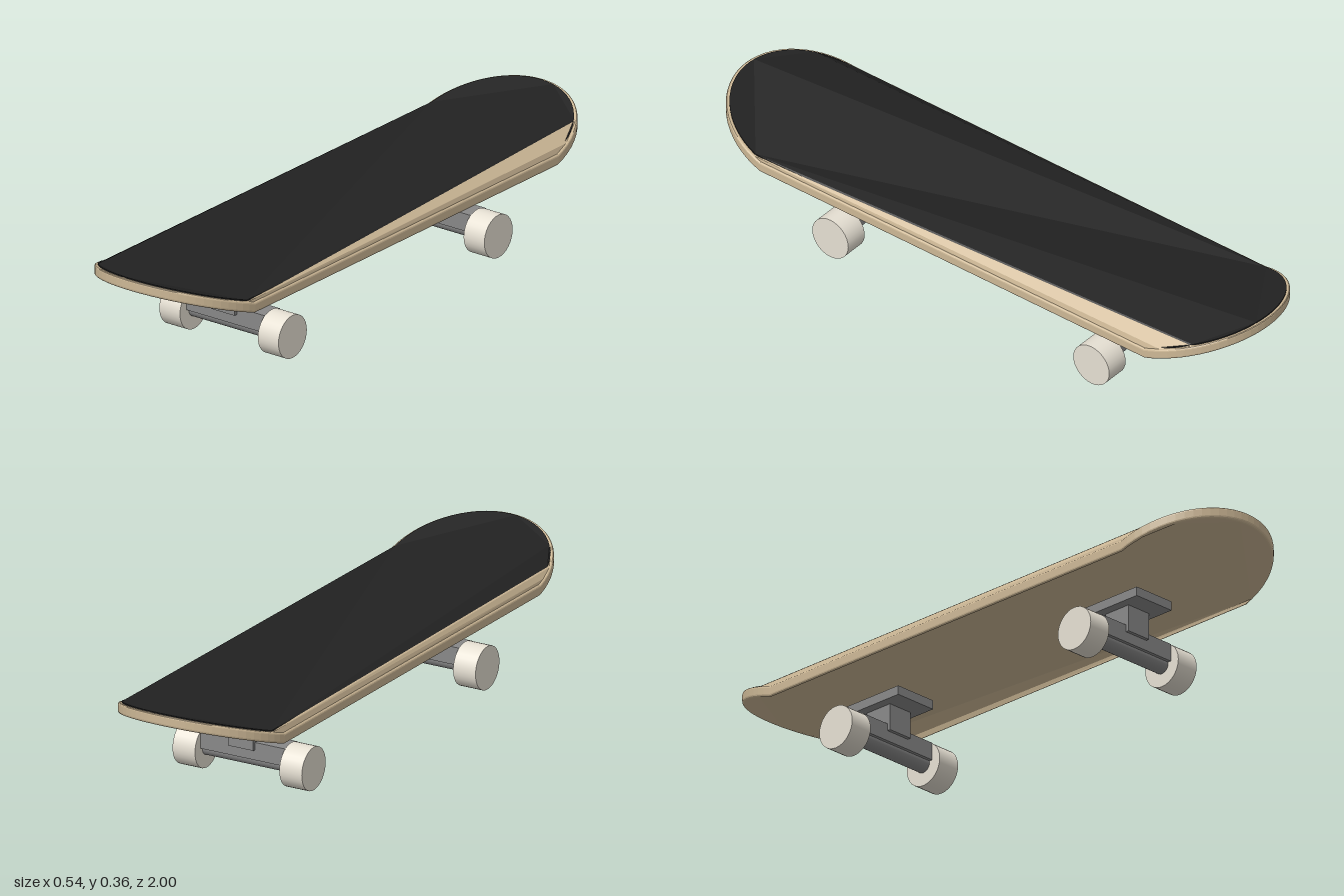
import * as THREE from 'three';

const END = 0.732;      // z where the straight sides end and the kicks begin
const SLOPE = 0.34;     // rise of nose and tail

// Rounded plank lying flat with its top at the given height, ends bent upward
function plank(radius, top, thickness, bevel) {
  const shape = new THREE.Shape();
  shape.moveTo(-radius, -END);
  shape.absarc(0, -END, radius, Math.PI, Math.PI * 2, false);
  shape.lineTo(radius, END);
  shape.absarc(0, END, radius, 0, Math.PI, false);
  const geo = new THREE.ExtrudeGeometry(shape, {
    depth: thickness - 2 * bevel,
    curveSegments: 16,
    bevelEnabled: bevel > 0,
    bevelThickness: bevel,
    bevelSize: 0.006,
    bevelSegments: 3,
  });
  geo.rotateX(Math.PI / 2);
  geo.translate(0, top - bevel, 0);
  const p = geo.attributes.position;
  for (let i = 0; i < p.count; i++) {
    const kick = Math.max(0, Math.abs(p.getZ(i)) - END);
    p.setY(i, p.getY(i) + kick * SLOPE);
  }
  geo.computeVertexNormals();
  return geo;
}

export function createModel() {
  const material = (name, color) => {
    const m = new THREE.MeshStandardMaterial({ color });
    m.name = name;
    return m;
  };
  const wood = material('wood', 0xcdb896);
  const black = material('gripBlack', 0x222222);
  const metal = material('metal', 0x888888);
  const cream = material('wheelCream', 0xe6e0d3);

  const add = (parent, name, geo, mat, x = 0, y = 0, z = 0) => {
    const mesh = new THREE.Mesh(geo, mat);
    mesh.name = name;
    mesh.position.set(x, y, z);
    parent.add(mesh);
    return mesh;
  };

  const model = new THREE.Group();
  model.name = 'skateboard';

  // Deck and the thin grip sheet on it
  add(model, 'deck', plank(0.262, 0.266, 0.0345, 0.007), wood);
  add(model, 'gripSheet', plank(0.257, 0.27, 0.004, 0), black);

  // Trucks: base plate, riser block, hanger, axle and two wheels
  const axleGeo = new THREE.CylinderGeometry(0.0265, 0.0265, 0.3, 24).rotateZ(Math.PI / 2);
  const wheelGeo = new THREE.CylinderGeometry(0.0685, 0.0685, 0.078, 32).rotateZ(Math.PI / 2);
  for (const [name, z] of [['frontTruck', 0.497], ['backTruck', -0.497]]) {
    const truck = new THREE.Group();
    truck.name = name;
    truck.position.z = z;
    add(truck, 'basePlate', new THREE.BoxGeometry(0.148, 0.029, 0.224), metal, 0, 0.204);
    add(truck, 'riserBlock', new THREE.BoxGeometry(0.087, 0.085, 0.096), metal, 0, 0.1475);
    add(truck, 'hanger', new THREE.BoxGeometry(0.296, 0.056, 0.074), metal, 0, 0.1);
    add(truck, 'axle', axleGeo, metal, 0, 0.0685);
    add(truck, 'leftWheel', wheelGeo, cream, 0.186, 0.0685);
    add(truck, 'rightWheel', wheelGeo, cream, -0.186, 0.0685);
    model.add(truck);
  }
  return model;
}
